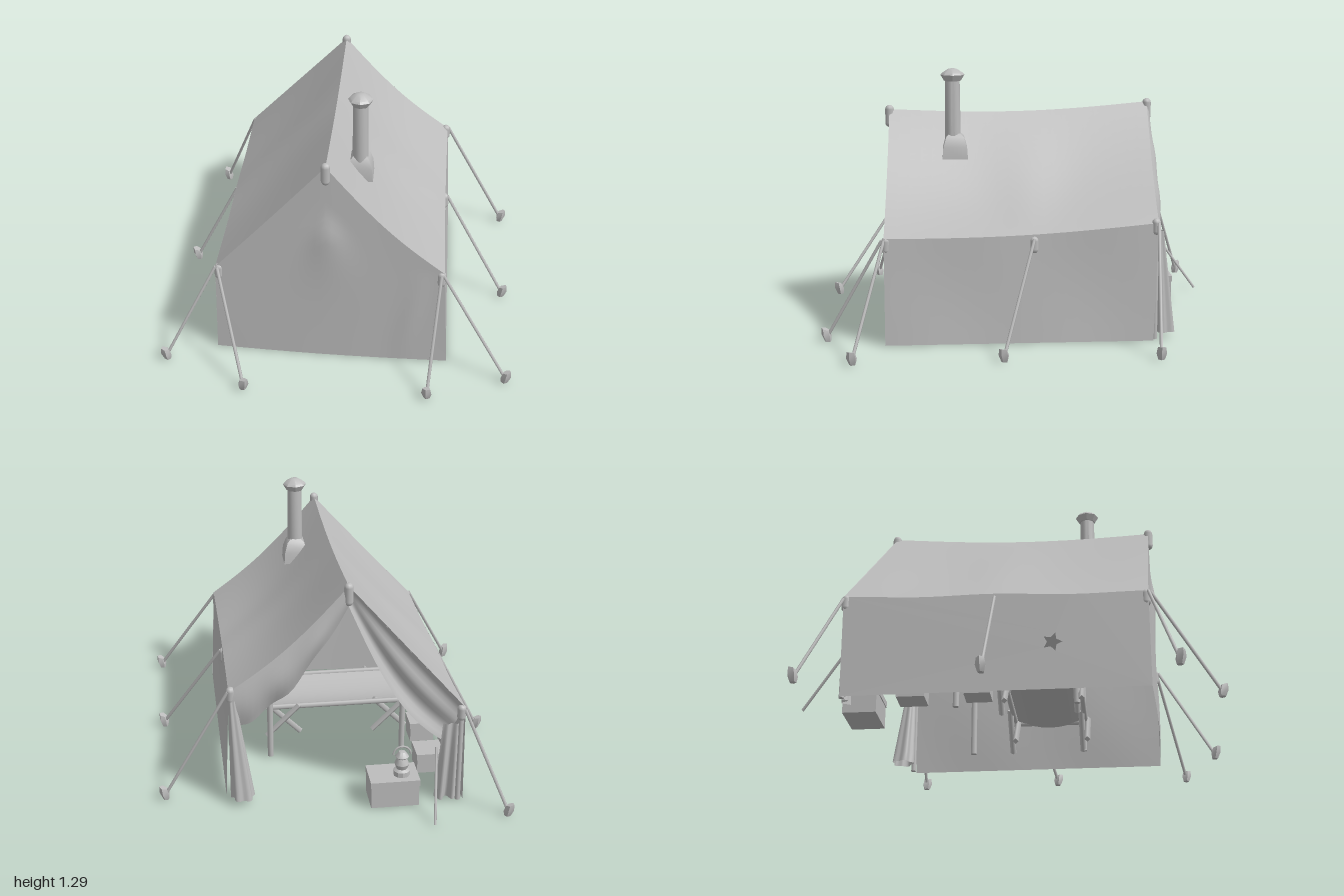
import * as THREE from 'three';
import { toCreasedNormals } from 'three/addons/utils/BufferGeometryUtils.js';

const V = (x, y, z) => new THREE.Vector3(x, y, z);

export function createModel() {
  const model = new THREE.Group();
  const canvas = new THREE.MeshStandardMaterial({ color: 0xbcbcbc, side: THREE.DoubleSide });
  canvas.name = 'grey canvas';

  const add = (name, geo, parent = model) => {
    const m = new THREE.Mesh(geo, canvas);
    m.name = name;
    parent.add(m);
    return m;
  };
  const group = (name, x = 0, y = 0, z = 0) => {
    const g = new THREE.Group();
    g.name = name;
    g.position.set(x, y, z);
    model.add(g);
    return g;
  };
  // Cloth surface from a rule (u, v) -> point
  const sheet = (name, nu, nv, rule, parent) => {
    const geo = new THREE.PlaneGeometry(1, 1, nu, nv);
    const p = geo.attributes.position;
    for (let i = 0; i < p.count; i++) {
      const q = rule(p.getX(i) + 0.5, p.getY(i) + 0.5);
      p.setXYZ(i, q.x, q.y, q.z);
    }
    geo.computeVertexNormals();
    return add(name, geo, parent);
  };
  // Round bar between two points
  const rod = (name, a, b, r, parent, sides = 6) => {
    const d = b.clone().sub(a);
    const m = add(name, new THREE.CylinderGeometry(r, r, d.length(), sides), parent);
    m.position.copy(a).add(b).multiplyScalar(0.5);
    m.quaternion.setFromUnitVectors(V(0, 1, 0), d.normalize());
    return m;
  };
  const crease = (geo) => toCreasedNormals(geo, 0.6);
  const hump = (t) => Math.sin(Math.PI * t);
  const gauss = (t, w) => Math.exp(-(t * t) / (w * w));

  // Edges of the tent, t = 0 at the front, 1 at the back
  const lerp = THREE.MathUtils.lerp;
  const ridge = (t) => V(-0.05, lerp(1.07, 1.1, t) - 0.03 * hump(t), lerp(0.67, -0.65, t));
  const eaveL = (t) => V(-0.59, lerp(0.48, 0.51, t) - 0.01 * hump(2 * t) ** 2, lerp(0.65, -0.79, t));
  const eaveR = (t) => V(0.515 - 0.005 * hump(t), lerp(0.52, 0.58, t) - 0.022 * hump(t), lerp(0.69, -0.63, t));

  // Roof slopes: one nearly taut, the other sagging
  const SAG_L = 0.004, SAG_R = 0.04;
  for (const [name, eave, sag, dip] of [['leftRoofSlope', eaveR, SAG_R, 0.022], ['rightRoofSlope', eaveL, SAG_L, 0.012]]) {
    sheet(name, 24, 24, (u, v) => {
      const q = ridge(v).lerp(eave(v), u);
      q.y -= hump(u) * (sag + dip * hump(v));
      q.y += 0.05 * u * (1 - u) * gauss(v - 0.52, 0.07 + 0.1 * (1 - u));
      return q;
    });
  }

  // Side wall, bowed between its posts
  sheet('leftWall', 24, 8, (u, v) => {
    const q = V(0.538, 0, lerp(0.69, -0.61, u)).lerp(eaveR(u), v);
    q.x -= 0.008 * hump(v) * Math.sin(2 * Math.PI * u) ** 2;
    return q;
  });

  // Side wall with a torn hole
  const wall = new THREE.Shape();
  wall.moveTo(0.65, 0);
  for (let i = 0; i <= 24; i++) { const e = eaveL(i / 24); wall.lineTo(e.z, e.y); }
  wall.lineTo(-0.78, 0);
  const tear = new THREE.Path();
  for (let i = 0; i < 10; i++) {
    const a = i * Math.PI / 5, r = i % 2 ? 0.024 : 0.048;
    tear[i ? 'lineTo' : 'moveTo'](0.2 + r * Math.cos(a), 0.235 + r * Math.sin(a));
  }
  tear.closePath();
  wall.holes.push(tear);
  const wallGeo = new THREE.ShapeGeometry(wall);
  const wp = wallGeo.attributes.position;
  for (let i = 0; i < wp.count; i++) {
    const z = wp.getX(i), y = wp.getY(i);
    wp.setXYZ(i, -0.6 + 0.02 * y, y, z);
  }
  wallGeo.computeVertexNormals();
  add('rightWall', wallGeo);

  // Closed front wall with folds below the ridge pole and at the corner
  sheet('frontWall', 40, 24, (u, v) => {
    const top = u < 0.5 ? eaveL(0).lerp(ridge(0), u * 2) : ridge(0).lerp(eaveR(0), u * 2 - 1);
    top.y -= u < 0.5 ? SAG_L * hump(u * 2) : SAG_R * hump(u * 2 - 1);
    const base = V(u < 0.5 ? lerp(-0.6, -0.05, u * 2) : lerp(-0.05, 0.54, u * 2 - 1), 0, lerp(0.65, 0.69, u) + 0.012 * hump(u));
    const q = base.lerp(top, v);
    const drop = Math.max(0, 0.82 - q.y);
    q.z += 0.022 * gauss(q.x + 0.05, 0.03 + 0.3 * drop) * Math.min(1, drop * 8) * gauss(drop, 0.3);
    q.z += 0.008 * gauss(q.x - 0.42 + 0.25 * (0.5 - q.y), 0.05) * hump(Math.min(1, q.y * 1.9));
    return q;
  });

  // Gathered valance over the back opening
  sheet('backValance', 20, 8, (u, v) => {
    const q = ridge(1).lerp(eaveR(1), u);
    q.y -= SAG_R * hump(u) + v * (0.1 + 0.1 * u + 0.08 * hump(u) + 0.012 * Math.sin(u * 17));
    q.z -= 0.025 * hump(v) * (0.4 + hump(u)) + 0.005 * Math.sin(u * 22 + v * 3) * v;
    return q;
  });

  // Curtain swept aside from the ridge to the eave corner
  sheet('sweptCurtain', 20, 10, (u, v) => {
    const outer = ridge(1).lerp(eaveL(1), u);
    const inner = V(lerp(-0.05, -0.5, u), lerp(1.0, 0.32, u) - 0.12 * hump(u), lerp(-0.65, -0.76, u));
    const q = outer.lerp(inner, v);
    q.z += 0.012 * Math.sin(v * 11) * hump(u * 0.8) + 0.015 * hump(v);
    return q;
  });
  // Loose tail of the curtain, tied at knee height
  sheet('curtainTail', 20, 8, (u, v) => {
    const q = V(lerp(-0.59, lerp(-0.49, -0.46, v), u), lerp(0.42, 0.01, v), -0.775);
    q.z += (0.006 + 0.014 * v) * Math.sin(u * 14);
    return q;
  });

  // Gathered curtain hanging at the other back corner
  sheet('gatheredCurtain', 30, 10, (u, v) => {
    const a = u * Math.PI * 2;
    const r = (0.016 + 0.036 * v) * (1 + 0.15 * Math.sin(a * 5));
    return V(0.5 - 0.04 * v + r * Math.cos(a), lerp(0.54, 0.03, v), -0.64 - 0.03 * v + r * Math.sin(a));
  });

  // Rounded pole tips under the cloth: x, y, z
  const tips = [
    [-0.05, 1.09, 0.67], [-0.05, 1.115, -0.65], [-0.575, 0.49, 0.64], [-0.575, 0.52, -0.78],
    [0.5, 0.525, 0.68], [0.505, 0.6, -0.62], [0.505, 0.52, -0.03], [-0.57, 0.48, -0.07],
  ];
  tips.forEach(([x, y, z], i) => {
    const tall = i < 2;
    const tip = add('poleTip', new THREE.CapsuleGeometry(0.022, tall ? 0.07 : 0.04, 4, 8));
    tip.position.set(x, y - (tall ? 0.055 : 0.04), z);
  });
  // Corner poles beside the doorway
  rod('cornerPole', V(-0.575, 0, -0.775), V(-0.575, 0.49, -0.775), 0.013, model, 8);
  rod('cornerPole', V(0.505, 0, -0.62), V(0.505, 0.57, -0.62), 0.013, model, 8);
  // Inner poles propping the roof slopes
  for (const z of [-0.27, 0.3]) {
    rod('innerPole', V(0.29, 0.01, z), V(0.29, 0.65, z), 0.015, model, 8);
    rod('innerPole', V(-0.39, 0.01, z), V(-0.39, 0.665, z), 0.015, model, 8);
  }

  // Stake: a short wedge with a swollen middle and a slanted head
  const stakeGeo = new THREE.CylinderGeometry(0.02, 0.016, 0.062, 5, 2);
  const sp = stakeGeo.attributes.position;
  for (let i = 0; i < sp.count; i++) {
    const y = sp.getY(i) + 0.032, swell = Math.abs(y - 0.032) < 0.01 ? 1.45 : 1;
    sp.setXYZ(i, sp.getX(i) * swell, y + (y > 0.03 ? sp.getZ(i) * 0.3 : 0), sp.getZ(i) * swell + y * 0.2);
  }
  const stakeShape = crease(stakeGeo);

  // Guy ropes and stakes: rope top, stake foot
  const guys = [
    [-0.59, 0.48, 0.65, -0.83, 0.77], [-0.58, 0.48, 0.66, -0.43, 0.97],
    [0.51, 0.51, 0.69, 0.82, 0.83], [0.5, 0.51, 0.7, 0.45, 0.97],
    [0.52, 0.51, -0.03, 0.82, 0.13], [0.52, 0.58, -0.63, 0.83, -0.6],
    [-0.59, 0.48, -0.07, -0.82, -0.1], [-0.59, 0.5, -0.79, -0.78, -0.95],
  ];
  for (const [x, y, z, sx, sz] of guys) {
    const g = group('guyRope');
    rod('rope', V(x, y, z), V(sx, 0.03, sz), 0.008, g);
    const stake = add('stake', stakeShape, g);
    stake.position.set(sx, 0, sz);
    stake.rotation.y = Math.atan2(sx - x, sz - z);
  }
  rod('curtainStick', V(-0.46, 0.3, -0.78), V(-0.42, 0.005, -0.995), 0.007);

  // Stove pipe with boot and cap
  const pipe = group('stovePipe', 0.09, 0, 0.35);
  const lathe = (name, pts, sides, parent) =>
    add(name, crease(new THREE.LatheGeometry(pts.map(([r, y]) => new THREE.Vector2(r, y)), sides)), parent);
  lathe('pipe', [[0.04, 0.84], [0.036, 1.24]], 14, pipe);
  lathe('pipeCap', [[0, 1.225], [0.042, 1.228], [0.06, 1.258], [0.052, 1.268], [0.02, 1.288], [0, 1.29]], 8, pipe);
  const boot = lathe('pipeBoot', [[0.09, 0.84], [0.084, 0.9], [0.062, 0.95], [0.038, 0.965]], 4, pipe);
  boot.rotation.y = Math.PI / 4;
  boot.position.z = -0.01;

  // Folding camp bed on crossed legs
  const bed = group('campBed', -0.08, 0, 0.13);
  for (const s of [-1, 1]) {
    rod('rail', V(-0.37, 0.17, s * 0.18), V(0.37, 0.17, s * 0.18), 0.014, bed);
    rod('endBar', V(s * 0.35, 0.16, -0.2), V(s * 0.35, 0.16, 0.2), 0.014, bed);
    for (const x of [-0.28, 0.28])
      for (const t of [-1, 1])
        rod('crossedLeg', V(x - t * 0.09, 0.01, s * 0.18 + t * 0.014), V(x + t * 0.08, 0.18, s * 0.18 + t * 0.014), 0.015, bed, 4);
  }
  sheet('bedCloth', 12, 8, (u, v) => V(lerp(-0.35, 0.35, u), 0.175 - 0.04 * hump(v), lerp(0.18, -0.18, v)), bed);

  // Crates by the wall and in the doorway
  const crates = [[-0.26, -0.735, 0.24, 0.145, 0.17], [-0.49, -0.46, 0.14, 0.11, 0.14], [-0.51, -0.15, 0.13, 0.11, 0.13]];
  for (const [x, z, w, h, d] of crates) {
    const g = group('crate', x, 0, z);
    add('crateBody', new THREE.BoxGeometry(w - 0.008, h - 0.02, d - 0.008), g).position.y = h / 2 - 0.005;
    add('crateLid', new THREE.BoxGeometry(w, 0.03, d), g).position.y = h - 0.015;
  }

  // Lantern on the doorway crate
  const lantern = group('lantern', -0.3, 0.145, -0.75);
  lathe('lanternBody', [[0, 0], [0.04, 0], [0.04, 0.025], [0.026, 0.035], [0.036, 0.06], [0.024, 0.09], [0.034, 0.1], [0.016, 0.125], [0, 0.13]], 10, lantern);
  add('lanternHandle', new THREE.TorusGeometry(0.042, 0.005, 5, 16, Math.PI), lantern).position.y = 0.11;

  return model;
}
